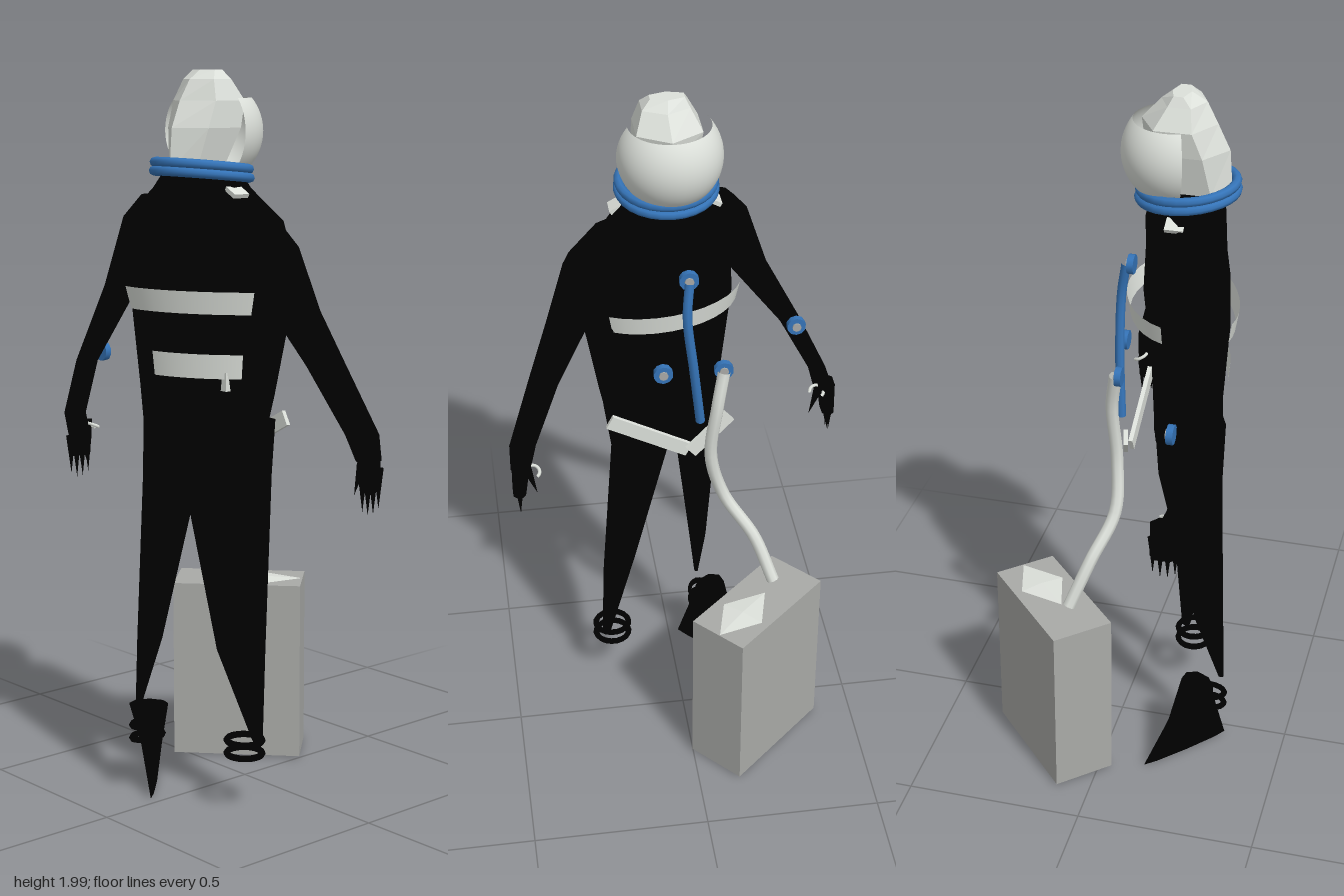
import * as THREE from 'three';

const mat = (name, color, side = THREE.FrontSide) => {
  const m = new THREE.MeshStandardMaterial({ color, side });
  m.name = name;
  return m;
};

// Stack of horizontal elliptical sections [x, y, z, rx, rz], top to bottom, closed at both ends
function loft(sections, n = 12, rot = 0) {
  const first = sections[0], last = sections[sections.length - 1];
  const rows = [[...first.slice(0, 3), 0, 0], ...sections, [...last.slice(0, 3), 0, 0]];
  const pos = [], idx = [];
  for (const [x, y, z, rx, rz] of rows) {
    for (let j = 0; j < n; j++) {
      const t = (j / n) * Math.PI * 2;
      const lx = Math.sin(t) * rx, lz = Math.cos(t) * rz;
      pos.push(x + lx * Math.cos(rot) + lz * Math.sin(rot), y, z - lx * Math.sin(rot) + lz * Math.cos(rot));
    }
  }
  for (let i = 0; i < rows.length - 1; i++) {
    for (let j = 0; j < n; j++) {
      const a = i * n + j, b = i * n + (j + 1) % n;
      idx.push(a, a + n, b, b, a + n, b + n);
    }
  }
  const g = new THREE.BufferGeometry();
  g.setAttribute('position', new THREE.Float32BufferAttribute(pos, 3));
  g.setIndex(idx);
  const flat = g.toNonIndexed();
  flat.computeVertexNormals();
  return flat;
}

const tube = (pts, r, seg = 24) => new THREE.TubeGeometry(
  new THREE.CatmullRomCurve3(pts.map(p => new THREE.Vector3(...p))), seg, r, 8);

export function createModel() {
  const root = new THREE.Group();
  const black = mat('suitBlack', 0x000000);
  const white = mat('shellWhite', 0xdce0da, THREE.DoubleSide);
  const grey = mat('boxGrey', 0xa9aaa7);
  const blue = mat('fittingBlue', 0x3574b8);
  const add = (name, geo, m, p = [0, 0, 0], parent = root) => {
    const mesh = new THREE.Mesh(geo, m);
    mesh.name = name;
    mesh.position.set(...p);
    parent.add(mesh);
    return mesh;
  };

  // Suit body, turned a little toward its left
  add('torso', loft([
    [0.02, 1.74, 0.17, 0.10, 0.095],
    [0.02, 1.69, 0.17, 0.14, 0.1],
    [0.02, 1.61, 0.165, 0.232, 0.1],
    [0.05, 1.52, 0.165, 0.235, 0.105],
    [0.045, 1.38, 0.165, 0.236, 0.111],
    [0.038, 1.15, 0.172, 0.2, 0.092],
    [0.03, 0.98, 0.18, 0.172, 0.092],
    [0.02, 0.955, 0.18, 0.12, 0.08]], 12, 0.42), black);
  add('rightLeg', loft([
    [-0.04, 1.08, 0.2, 0.1, 0.1],
    [-0.067, 0.91, 0.21, 0.064, 0.09],
    [-0.085, 0.45, 0.277, 0.026, 0.042],
    [-0.088, 0.26, 0.318, 0.006, 0.008]], 8), black);
  add('leftLeg', loft([
    [0.11, 1.08, 0.155, 0.125, 0.07],
    [0.095, 0.93, 0.15, 0.122, 0.062],
    [0.17, 0.45, 0.165, 0.066, 0.03],
    [0.215, 0.2, 0.145, 0.014, 0.012]], 8, 0.75), black);
  add('leftArm', loft([
    [0.18, 1.63, 0.13, 0.04, 0.06],
    [0.23, 1.545, 0.12, 0.075, 0.08],
    [0.3, 1.38, 0.09, 0.06, 0.07],
    [0.37, 1.24, 0.045, 0.044, 0.06],
    [0.445, 1.06, -0.015, 0.037, 0.052],
    [0.455, 0.99, -0.03, 0.028, 0.04]], 8), black);
  add('rightArm', loft([
    [-0.11, 1.67, 0.205, 0.055, 0.05],
    [-0.148, 1.61, 0.235, 0.06, 0.05],
    [-0.215, 1.42, 0.26, 0.055, 0.04],
    [-0.35, 1.2, 0.28, 0.03, 0.03],
    [-0.43, 1.04, 0.265, 0.025, 0.035],
    [-0.45, 0.97, 0.235, 0.028, 0.035]], 8), black);

  // Hands with tapering fingers
  for (const [name, x, y, z, s] of [['leftHand', 0.455, 0.98, -0.03, 1], ['rightHand', -0.45, 0.98, 0.23, -1]]) {
    const hand = new THREE.Group();
    hand.name = name;
    hand.position.set(x, y, z);
    root.add(hand);
    add('palm', loft([[0, 0.03, 0, 0.028, 0.04], [s * 0.008, -0.07, 0, 0.02, 0.038]], 6), black, [0, 0, 0], hand);
    for (let i = 0; i < 4; i++) {
      const f = add('finger', new THREE.ConeGeometry(0.014, 0.11, 5), black,
        [s * 0.008, -0.085 + Math.abs(i - 1.5) * 0.012, -0.03 + i * 0.02], hand);
      f.rotation.x = Math.PI;
    }
    const thumb = add('thumb', new THREE.ConeGeometry(0.014, 0.09, 5), black, [-s * 0.03, -0.045, 0.01], hand);
    thumb.rotation.z = Math.PI - s * 0.3;
    const cuff = add('wristBand', new THREE.TorusGeometry(0.02, 0.005, 6, 14, 4), white,
      [-s * 0.03, 0.015, -0.025], hand);
    cuff.rotation.x = 1.1;
  }

  // Boot with a thin pointed sole, and ankle rings
  add('boot', loft([
    [-0.12, 0.25, 0.255, 0.04, 0.055],
    [-0.128, 0.13, 0.24, 0.09, 0.03],
    [-0.135, 0.01, 0.225, 0.143, 0.008]], 8, -0.75), black);
  for (const [x, z, rx, rz] of [[-0.095, 0.28, 0.032, 0.05], [0.195, 0.175, 0.05, 0.048]]) {
    for (const y of [0.205, 0.168]) {
      const ring = add('ankleRing', new THREE.TorusGeometry(1, 0.18, 6, 18), black, [x, y, z]);
      ring.rotation.x = Math.PI / 2;
      ring.scale.set(rx, rz, 0.05);
    }
  }

  // Chest, waist and back straps
  const strap = (name, y, h, flare, rx, rz, from, to, yaw) => {
    const m = add(name, new THREE.CylinderGeometry(flare, 0.98, h, 10, 1, true, from, to - from), white, [0.042, y, 0.167]);
    m.scale.set(rx, 1, rz);
    m.rotation.y = yaw;
  };
  strap('chestStrap', 1.4, 0.06, 1.05, 0.24, 0.125, -1.0, 0.75, 0.45);
  strap('waistStrap', 1.23, 0.065, 1.02, 0.205, 0.109, -0.65, 0.68, 0.48);
  strap('backStrap', 1.4, 0.055, 1.04, 0.225, 0.155, Math.PI - 0.9, Math.PI + 1.1, 0.25);
  add('buckle', new THREE.BoxGeometry(0.025, 0.05, 0.02), white, [0.155, 1.19, 0.205]);
  for (const s of [-1, 1]) {
    const tab = add('collarTab', new THREE.BoxGeometry(0.04, 0.012, 0.05), white, [0.025 + s * 0.13, 1.685, 0.165]);
    tab.rotation.z = -s * 0.5;
  }
  // Hip straps meeting in a V at the back
  for (const [x, y, len, yaw, tilt] of [[0.09, 1.02, 0.25, 0, 0.49], [-0.08, 1.01, 0.15, 0.25, -0.68]]) {
    const belt = add('hipStrap', new THREE.BoxGeometry(len, 0.042, 0.012), white, [x, y, 0.03]);
    belt.rotation.set(0, yaw, tilt);
  }

  // Back and elbow fittings
  for (const [x, y, z] of [[-0.02, 1.52, 0.03], [0.055, 1.25, -0.005], [-0.115, 1.23, 0.02], [-0.355, 1.22, 0.22]]) {
    const port = new THREE.Group();
    port.name = 'port';
    port.position.set(x, y, z);
    port.rotation.x = -Math.PI / 2;
    root.add(port);
    add('portRing', new THREE.CylinderGeometry(0.027, 0.027, 0.018, 10), blue, [0, 0, 0], port);
    add('portCap', new THREE.CylinderGeometry(0.013, 0.013, 0.008, 8), grey, [0, 0.01, 0], port);
  }
  add('backTube', tube([[-0.02, 1.52, 0.015], [-0.012, 1.42, 0], [-0.03, 1.25, 0], [-0.05, 1.07, 0.01]], 0.013), blue);
  add('airHose', tube([[-0.115, 1.23, 0.01], [-0.095, 1.12, -0.005], [-0.08, 0.95, 0.005], [-0.12, 0.8, 0.01],
    [-0.2, 0.68, -0.04], [-0.25, 0.55, -0.09]], 0.018, 32), white);

  // Neck ring
  for (const [y, r] of [[1.75, 0.126], [1.727, 0.128]]) {
    const ring = add('neckRing', new THREE.TorusGeometry(r, 0.013, 8, 28), blue, [0.02, y, 0.17]);
    ring.rotation.x = Math.PI / 2 - 0.1;
  }

  // Helmet: round back shell with a faceted crest in its opening
  add('helmetShell', new THREE.SphereGeometry(0.14, 24, 14, Math.PI, Math.PI + 0.35, 0.9, 1.55), white, [0.015, 1.84, 0.135]);
  add('helmetCrest', loft([
    [0.02, 2.0, 0.15, 0.052, 0.025],
    [0.025, 1.975, 0.155, 0.072, 0.06],
    [0.02, 1.92, 0.145, 0.1, 0.1],
    [0.025, 1.85, 0.165, 0.095, 0.112],
    [0.025, 1.74, 0.195, 0.065, 0.09]], 6), white);

  // Supply box with a small folded star on its lid
  const box = new THREE.Group();
  box.name = 'supplyBox';
  box.position.set(-0.195, 0, -0.153);
  box.rotation.y = 0.742;
  root.add(box);
  add('boxBody', new THREE.BoxGeometry(0.37, 0.515, 0.179), grey, [0, 0.2725, 0], box);
  add('lidStar', loft([[0, 0.006, 0, 0.001, 0.001], [0, 0, 0, 0.112, 0.066]], 4, 0.05), white, [0.07, 0.53, 0], box);

  return root;
}
